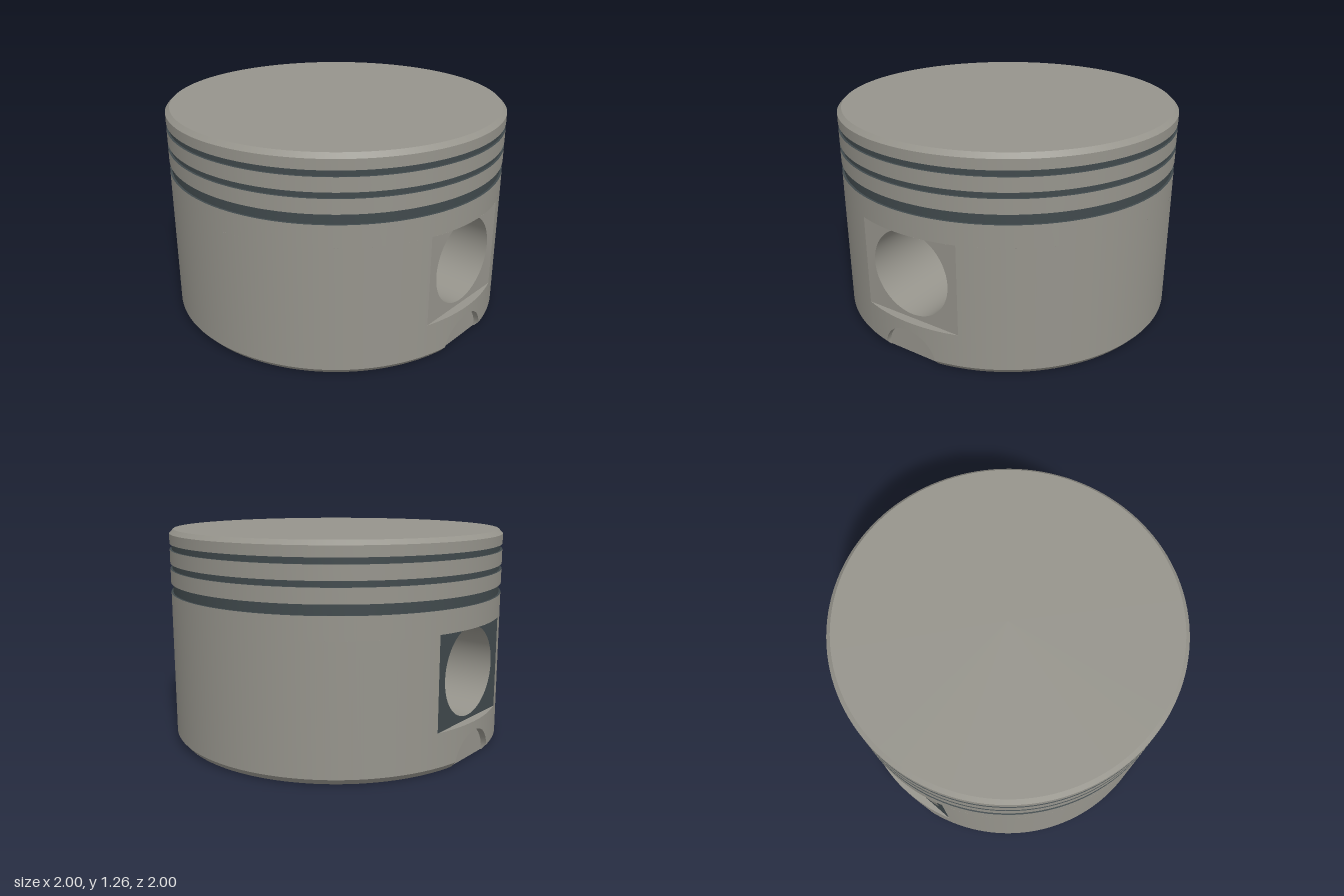
import * as THREE from 'three';

const SEG = 128;
const FLAT_Z = 0.95;                                // plane of the pin bosses and skirt notches
const FLAT_X = Math.sqrt(1 - FLAT_Z * FLAT_Z);      // half width of the boss flat
const FLAT_LOW = 0.23, FLAT_TOP = 0.762;
const PIN_R = 0.253, PIN_Y = 0.507;
const NOTCH_R = 0.178;
const BASE_R = 0.97, CHAMFER_Y = 0.035;
const POCKET = { z: 0.265, x0: 0.635, x1: 0.44, top: 0.95 };

// Surface between two matching rows of points
function ribbon(lower, upper) {
  const pos = [], index = [];
  lower.forEach((p, i) => {
    pos.push(...p, ...upper[i]);
    if (i > 0) {
      const a = 2 * i - 2;
      index.push(a, a + 2, a + 1, a + 1, a + 2, a + 3);
    }
  });
  const g = new THREE.BufferGeometry();
  g.setAttribute('position', new THREE.Float32BufferAttribute(pos, 3));
  g.setIndex(index);
  g.computeVertexNormals();
  return g;
}

function pinHole() {
  return new THREE.Path().absarc(0, PIN_Y, PIN_R, 0, Math.PI * 2, true);
}

function polygon(points) {
  return new THREE.Shape(points.map(([x, y]) => new THREE.Vector2(x, y)));
}

export function createModel() {
  const metal = new THREE.MeshStandardMaterial({ color: 0x96948c, side: THREE.DoubleSide });
  metal.name = 'warm grey metal';
  const dark = new THREE.MeshStandardMaterial({ color: 0x40494c, side: THREE.DoubleSide });
  dark.name = 'dark slate';

  const piston = new THREE.Group();
  piston.name = 'piston';

  function add(parent, name, geometry, material = metal) {
    const mesh = new THREE.Mesh(geometry, material);
    mesh.name = name;
    parent.add(mesh);
    return mesh;
  }

  function band(name, r0, y0, r1, y1, material = metal, start = 0, length = Math.PI * 2) {
    const profile = [new THREE.Vector2(r0, y0), new THREE.Vector2(r1, y1)];
    add(piston, name, new THREE.LatheGeometry(profile, SEG, start, length), material);
  }

  // Crown, lands and ring grooves
  const crown = new THREE.CircleGeometry(0.975, SEG).rotateX(-Math.PI / 2);
  add(piston, 'crown', crown).position.y = 1.26;
  band('crownChamfer', 1, 1.235, 0.975, 1.26);
  const grooves = [[0.89, 0.947], [1.03, 1.063], [1.143, 1.177]];
  let y = FLAT_TOP;
  for (const [low, high] of grooves) {
    band('land', 1, y, 1, low);
    band('grooveFloor', 0.988, low, 0.988, high, dark);
    band('grooveLowerWall', 1, low, 0.988, low, dark);
    band('grooveUpperWall', 0.988, high, 1, high, dark);
    y = high;
  }
  band('topLand', 1, y, 1, 1.235);

  // Skirt sides between the two boss flats
  const a = Math.asin(FLAT_X);
  for (const start of [a, Math.PI + a]) {
    band('skirt', 1, CHAMFER_Y, 1, FLAT_TOP, metal, start, Math.PI - 2 * a);
    band('skirtChamfer', BASE_R, 0, 1, CHAMFER_Y, metal, start, Math.PI - 2 * a);
  }

  // Underside with the rod pocket opening and two notches
  const n = Math.asin(NOTCH_R), nx = BASE_R * NOTCH_R, q = Math.PI / 2;
  const base = new THREE.Shape();
  base.absarc(0, 0, BASE_R, -q + n, q - n, false);
  base.lineTo(nx, FLAT_Z);
  base.lineTo(-nx, FLAT_Z);
  base.absarc(0, 0, BASE_R, q + n, 3 * q - n, false);
  base.lineTo(-nx, -FLAT_Z);
  base.lineTo(nx, -FLAT_Z);
  const { z: pz, x0, x1, top } = POCKET;
  base.holes.push(polygon([[-x0, -pz], [-x0, pz], [x0, pz], [x0, -pz]]));
  add(piston, 'underside', new THREE.ShapeGeometry(base, 64).rotateX(q));

  // Rod pocket roof and sloping ends
  const roof = new THREE.PlaneGeometry(2 * x1, 2 * pz).rotateX(q);
  add(piston, 'pocketRoof', roof).position.y = top;
  for (const s of [-1, 1]) {
    add(piston, 'pocketEnd', ribbon(
      [[s * x0, 0, -s * pz], [s * x0, 0, s * pz]],
      [[s * x1, top, -s * pz], [s * x1, top, s * pz]]));
  }

  // Columns across the skirt below a boss, dense around the notch arch
  const arch = [];
  for (let i = 0; i <= 32; i++) arch.push(-NOTCH_R * Math.cos(Math.PI * i / 32));
  const outer = [0.2, 0.225, 0.25, 0.28, FLAT_X];
  const columns = [...outer.map(v => -v).reverse(), ...arch, ...outer];
  const archY = x => Math.sqrt(Math.max(0, NOTCH_R * NOTCH_R - x * x));
  const onSkirt = (x, h) => {
    const r = BASE_R + (1 - BASE_R) * Math.min(1, h / CHAMFER_Y);
    return [r * x, h, r * Math.sqrt(1 - x * x)];
  };

  // Pin boss side, used for front and back
  function bossSide(name, flatMaterial) {
    const side = new THREE.Group();
    side.name = name;
    piston.add(side);

    const flat = polygon([[-FLAT_X, FLAT_LOW], [FLAT_X, FLAT_LOW], [FLAT_X, FLAT_TOP], [-FLAT_X, FLAT_TOP]]);
    flat.holes.push(pinHole());
    add(side, 'bossFlat', new THREE.ShapeGeometry(flat, 48), flatMaterial).position.z = FLAT_Z;

    const chord = h => columns.map(x => [x, h, FLAT_Z]);
    const rim = h => columns.map(x => onSkirt(x, h));
    add(side, 'lowerLedge', ribbon(rim(FLAT_LOW), chord(FLAT_LOW)));
    add(side, 'upperLedge', ribbon(chord(FLAT_TOP), rim(FLAT_TOP)));

    // Skirt strip and chamfer cut by the notch
    const cut = columns.map(x => onSkirt(x, archY(x)));
    const bend = columns.map(x => onSkirt(x, Math.max(CHAMFER_Y, archY(x))));
    add(side, 'lowerSkirt', ribbon(bend, rim(FLAT_LOW)));
    add(side, 'lowerChamfer', ribbon(cut, bend));

    // Half round notch
    const edge = arch.map(x => onSkirt(x, archY(x)));
    add(side, 'notchWall', ribbon(edge.map(p => [p[0], p[1], FLAT_Z]), edge));
    add(side, 'notchFace', new THREE.CircleGeometry(NOTCH_R, 48, 0, Math.PI)).position.z = FLAT_Z;

    // Pin bore from the flat to the pocket
    const bore = new THREE.CylinderGeometry(PIN_R, PIN_R, FLAT_Z - pz, 96, 1, true).rotateX(q);
    add(side, 'pinBore', bore).position.set(0, PIN_Y, (FLAT_Z + pz) / 2);

    // Long pocket wall, facing inward
    const wall = polygon([[-x0, 0], [x0, 0], [x1, top], [-x1, top]]);
    wall.holes.push(pinHole());
    const wallGeometry = new THREE.ShapeGeometry(wall, 48).rotateY(Math.PI);
    add(side, 'pocketWall', wallGeometry).position.z = pz;
    return side;
  }

  bossSide('frontBoss', metal);
  bossSide('backBoss', dark).rotation.y = Math.PI;

  return piston;
}
